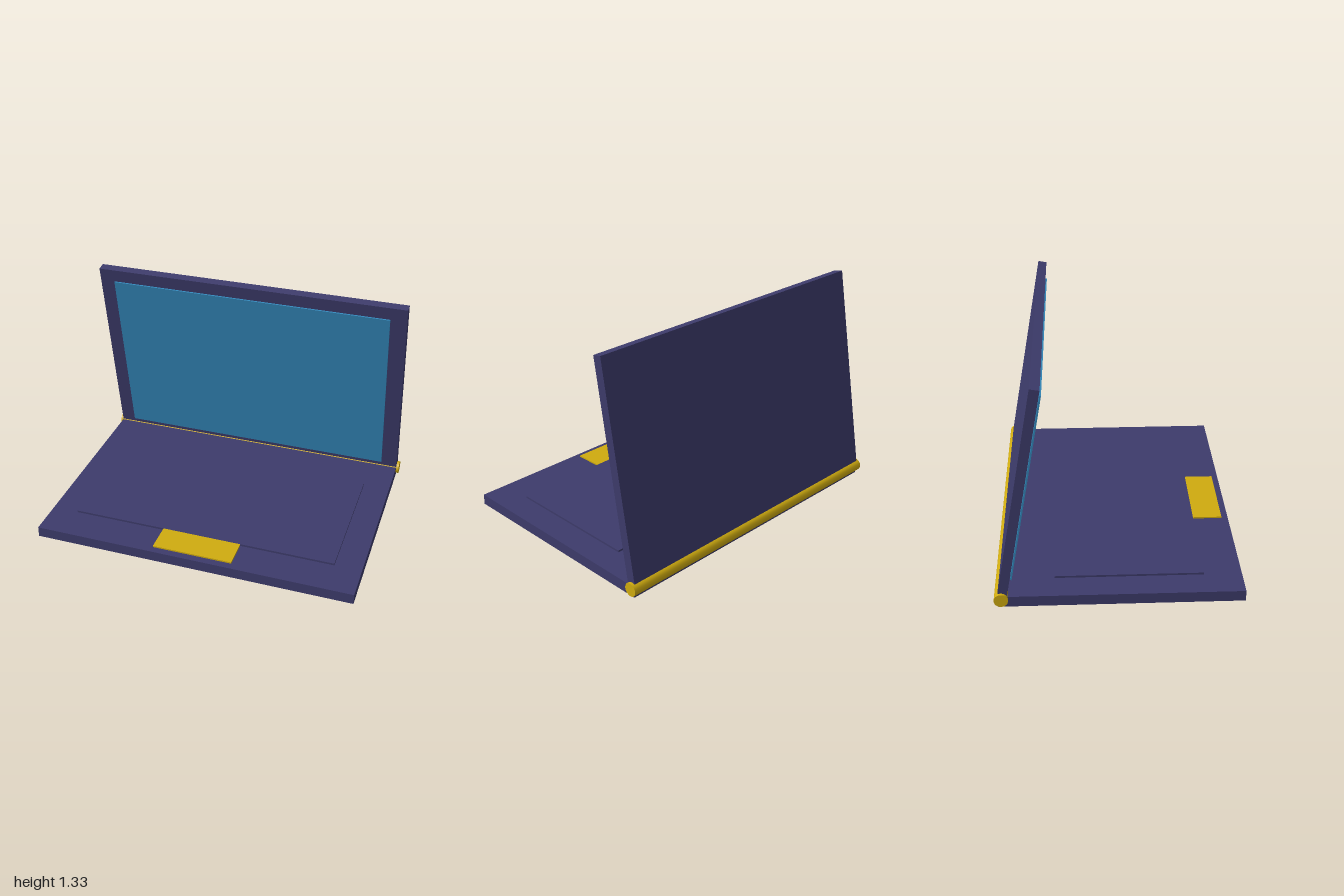
import * as THREE from 'three';

export function createModel() {
  const group = new THREE.Group();
  const material = (name, color) => {
    const m = new THREE.MeshStandardMaterial({ color });
    m.name = name;
    return m;
  };
  const shell = material('indigo shell', 0x3d3b6b);
  const gold = material('gold trim', 0xcfab0f);
  const glass = material('blue screen', 0x3388bb);

  // Box from its size and centre
  const box = (parent, name, mat, [w, h, d], [x, y, z]) => {
    const mesh = new THREE.Mesh(new THREE.BoxGeometry(w, h, d), mat);
    mesh.name = name;
    mesh.position.set(x, y, z);
    parent.add(mesh);
  };

  // Lower half
  box(group, 'base', shell, [1.968, 0.065, 1.375], [0, 0.0325, 0.0125]);
  box(group, 'keyboardPanel', shell, [1.64, 0.012, 0.848], [0, 0.071, 0.059]);
  box(group, 'trackpad', gold, [0.49, 0.009, 0.177], [0, 0.0725, 0.5715]);

  // Hinge rod along the back edge
  const rod = new THREE.CylinderGeometry(0.04, 0.04, 2, 16).rotateZ(Math.PI / 2);
  const hinge = new THREE.Mesh(rod, gold);
  hinge.name = 'hinge';
  hinge.position.set(0, 0.05, -0.66);
  group.add(hinge);

  // Lid pivots on the hinge and leans forward by ten degrees
  const lid = new THREE.Group();
  lid.name = 'lid';
  lid.position.set(0, 0.05, -0.657);
  lid.rotation.x = THREE.MathUtils.degToRad(10);
  box(lid, 'lidPanel', shell, [1.968, 1.295, 0.054], [0, 0.6475, 0]);
  // The screen floats slightly in front of the panel
  box(lid, 'screen', glass, [1.77, 1.155, 0.009], [0, 0.64, 0.0385]);
  group.add(lid);

  return group;
}
